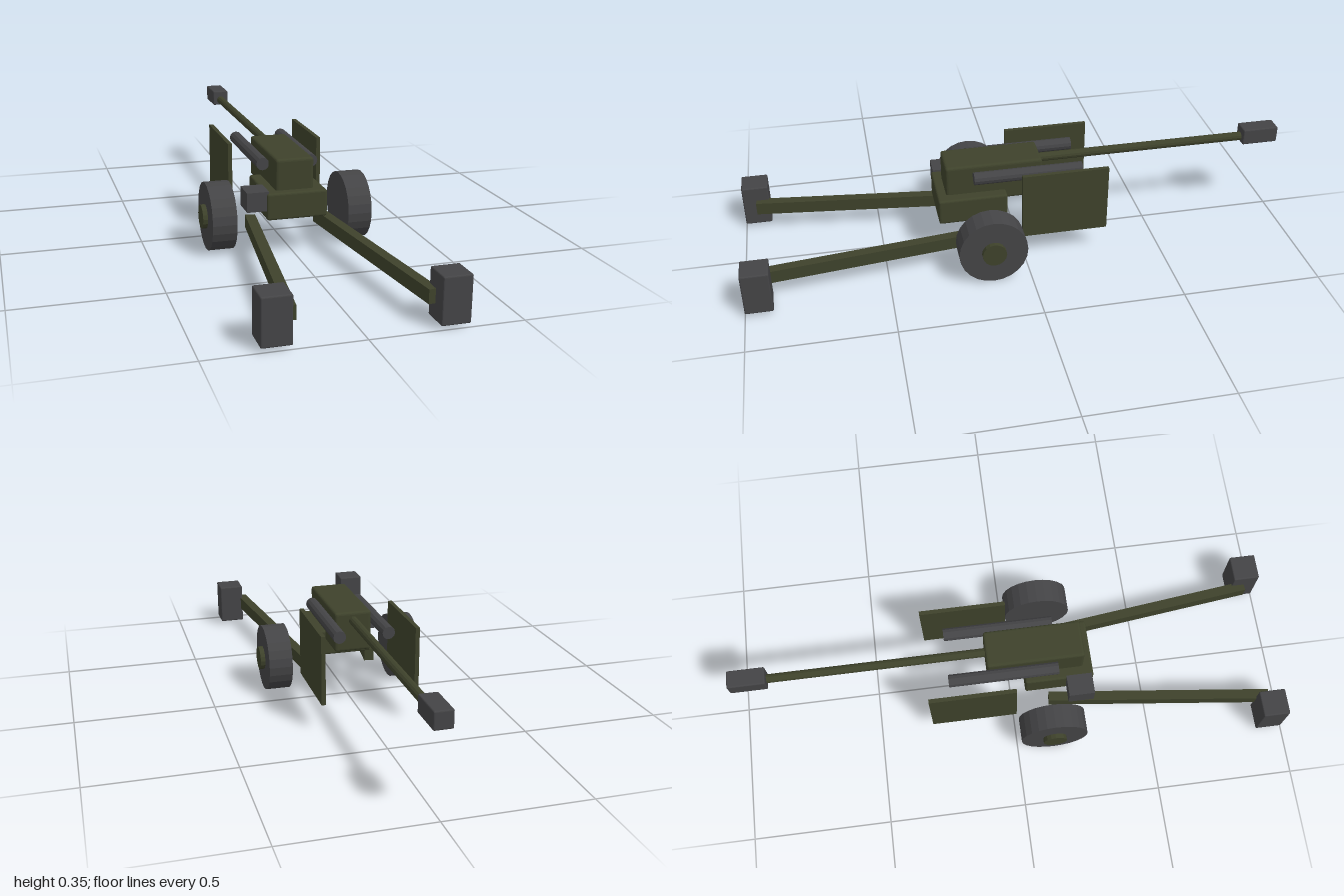
import * as THREE from 'three';
import { RoundedBoxGeometry } from 'three/addons/geometries/RoundedBoxGeometry.js';

const material = (name, color, flat) => {
  const m = new THREE.MeshStandardMaterial({ color, flatShading: flat });
  m.name = name;
  return m;
};

export function createModel() {
  const gun = new THREE.Group();
  gun.name = 'fieldGun';
  const olive = material('olive paint', 0x3e422b, true);
  const iron = material('dark iron', 0x444446, true);

  const add = (name, geometry, mat, x, y, z) => {
    const mesh = new THREE.Mesh(geometry, mat);
    mesh.name = name;
    mesh.position.set(x, y, z);
    gun.add(mesh);
    return mesh;
  };
  // Box given by its minimum and maximum corners, optionally with rounded edges
  const box = (name, mat, [x0, y0, z0], [x1, y1, z1], r = 0) => {
    const size = [x1 - x0, y1 - y0, z1 - z0];
    const g = r ? new RoundedBoxGeometry(...size, 2, r) : new THREE.BoxGeometry(...size);
    return add(name, g, mat, (x0 + x1) / 2, (y0 + y1) / 2, (z0 + z1) / 2);
  };
  const rodX = (r, length, sides) => new THREE.CylinderGeometry(r, r, length, sides).rotateZ(Math.PI / 2);
  const rodZ = (r, length, sides) => new THREE.CylinderGeometry(r, r, length, sides).rotateX(Math.PI / 2);

  // Carriage and breech
  box('carriageBase', olive, [-0.108, 0.14, 0.05], [0.108, 0.236, 0.3], 0.008);
  box('breechHousing', olive, [-0.068, 0.198, -0.085], [0.068, 0.346, 0.267], 0.01);
  box('sightBox', iron, [-0.178, 0.174, 0.2], [-0.1, 0.243, 0.293]);

  // Barrel and muzzle brake
  add('barrel', rodZ(0.016, 0.86, 12), olive, 0, 0.315, -0.47);
  box('muzzleBrake', iron, [-0.032, 0.293, -1], [0.032, 0.354, -0.865], 0.005);

  for (const side of [1, -1]) {
    const label = side > 0 ? 'left' : 'right';
    const sideBox = (name, mat, x, y, z, r) =>
      box(name, mat, [side * x - 0.048, y[0], z[0]], [side * x + 0.048, y[1], z[1]], r);

    // Wheel with hub cap
    add(label + 'Wheel', rodX(0.122, 0.087, 24), iron, side * 0.2465, 0.122, 0.135);
    add(label + 'Hub', rodX(0.043, 0.06, 16), olive, side * 0.277, 0.122, 0.135);

    // Recoil cylinder beside the breech
    add(label + 'RecoilCylinder', rodZ(0.023, 0.395, 12), iron, side * 0.089, 0.307, -0.028);

    // Shield plate
    add(label + 'Shield', new THREE.BoxGeometry(0.015, 0.25, 0.312), olive, side * 0.168, 0.22, -0.147);

    // Splayed trail leg and its ground spade
    const leg = add(label + 'Trail', new THREE.BoxGeometry(0.036, 0.047, 0.82), olive, side * 0.175, 0.09, 0.543);
    leg.rotation.y = side * 0.116;
    sideBox(label + 'Spade', iron, 0.275, [0.012, 0.168], [0.903, 1], 0.005);
  }
  return gun;
}
